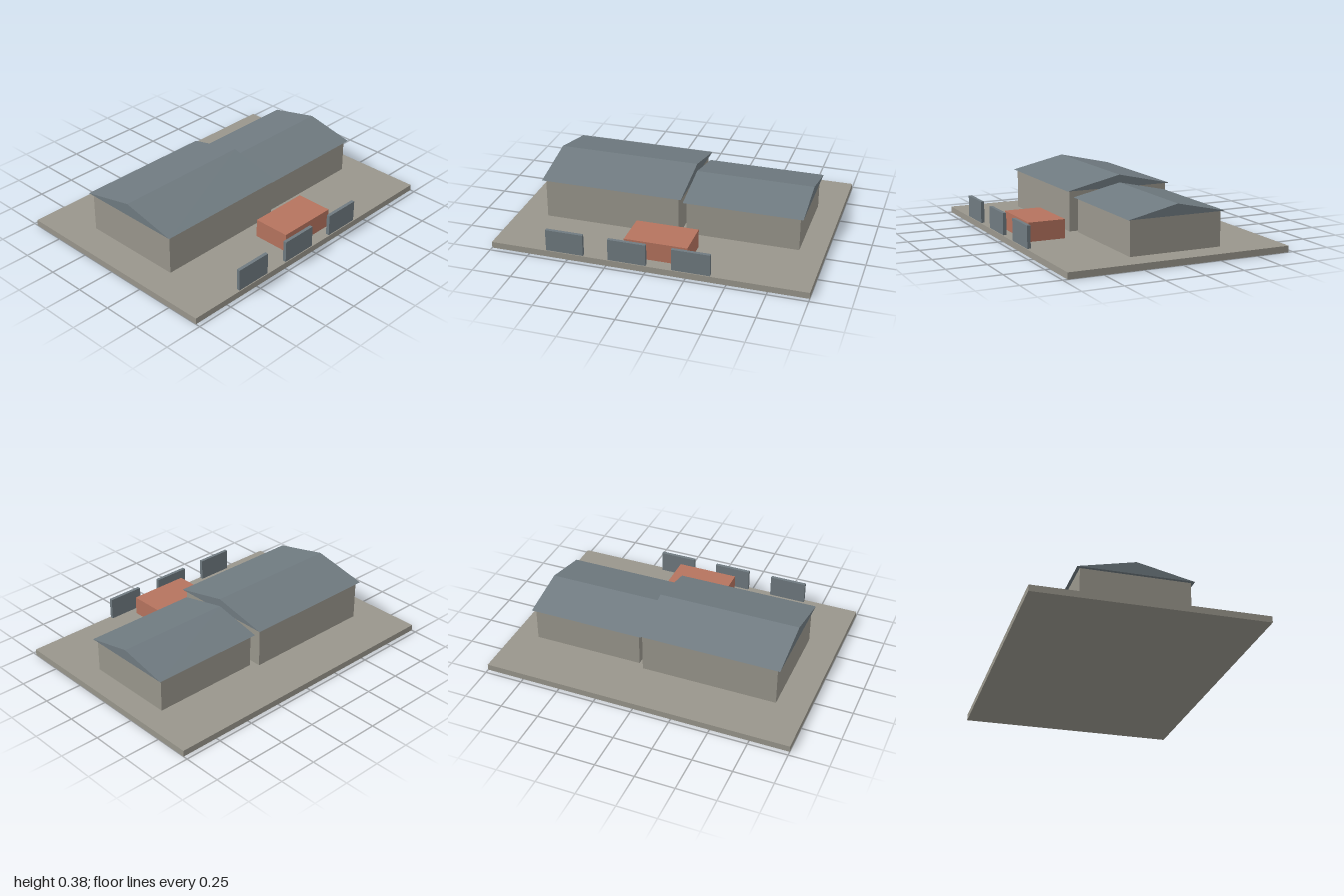
import * as THREE from 'three';

const material = (name, color) => {
  const m = new THREE.MeshStandardMaterial({ color });
  m.name = name;
  return m;
};

export function createModel() {
  const model = new THREE.Group();
  model.name = 'farmyard';
  const stone = material('warm grey stone', 0x99968c);
  const slate = material('slate blue grey', 0x6f7a80);
  const clay = material('terracotta', 0xb5735e);

  const add = (name, geometry, mat) => {
    const mesh = new THREE.Mesh(geometry, mat);
    mesh.name = name;
    model.add(mesh);
    return mesh;
  };

  // Box given by its limits on each axis
  const block = (name, mat, [x0, x1], [y0, y1], [z0, z1]) =>
    add(name, new THREE.BoxGeometry(x1 - x0, y1 - y0, z1 - z0), mat)
      .position.set((x0 + x1) / 2, (y0 + y1) / 2, (z0 + z1) / 2);

  // Solid gable roof with its ridge along x
  const gable = (name, [x0, x1], [y0, y1], [z0, z1]) => {
    const profile = new THREE.Shape();
    profile.moveTo(-z1, y0);
    profile.lineTo(-z0, y0);
    profile.lineTo(-(z0 + z1) / 2, y1);
    profile.closePath();
    const geometry = new THREE.ExtrudeGeometry(profile, { depth: x1 - x0, bevelEnabled: false });
    geometry.rotateY(Math.PI / 2);
    add(name, geometry, slate).position.x = x0;
  };

  // Ground slab
  block('groundSlab', stone, [-1, 1], [0, 0.04], [-0.72, 0.72]);

  // Larger hall
  block('largeHallWalls', stone, [-0.8, 0.08], [0.04, 0.3], [-0.38, 0.3]);
  gable('largeHallRoof', [-0.82, 0.1], [0.3, 0.38], [-0.4, 0.32]);

  // Smaller hall
  block('smallHallWalls', stone, [0.12, 0.84], [0.04, 0.26], [-0.34, 0.26]);
  gable('smallHallRoof', [0.1, 0.86], [0.26, 0.33], [-0.36, 0.28]);

  // Low block in the forecourt
  block('forecourtBlock', clay, [-0.16, 0.24], [0.04, 0.16], [0.4, 0.64]);

  // Upright panels along the front edge
  for (const x of [-0.64, -0.24, 0.16])
    block('frontPanel', slate, [x, x + 0.24], [0.04, 0.18], [0.692, 0.714]);

  return model;
}
